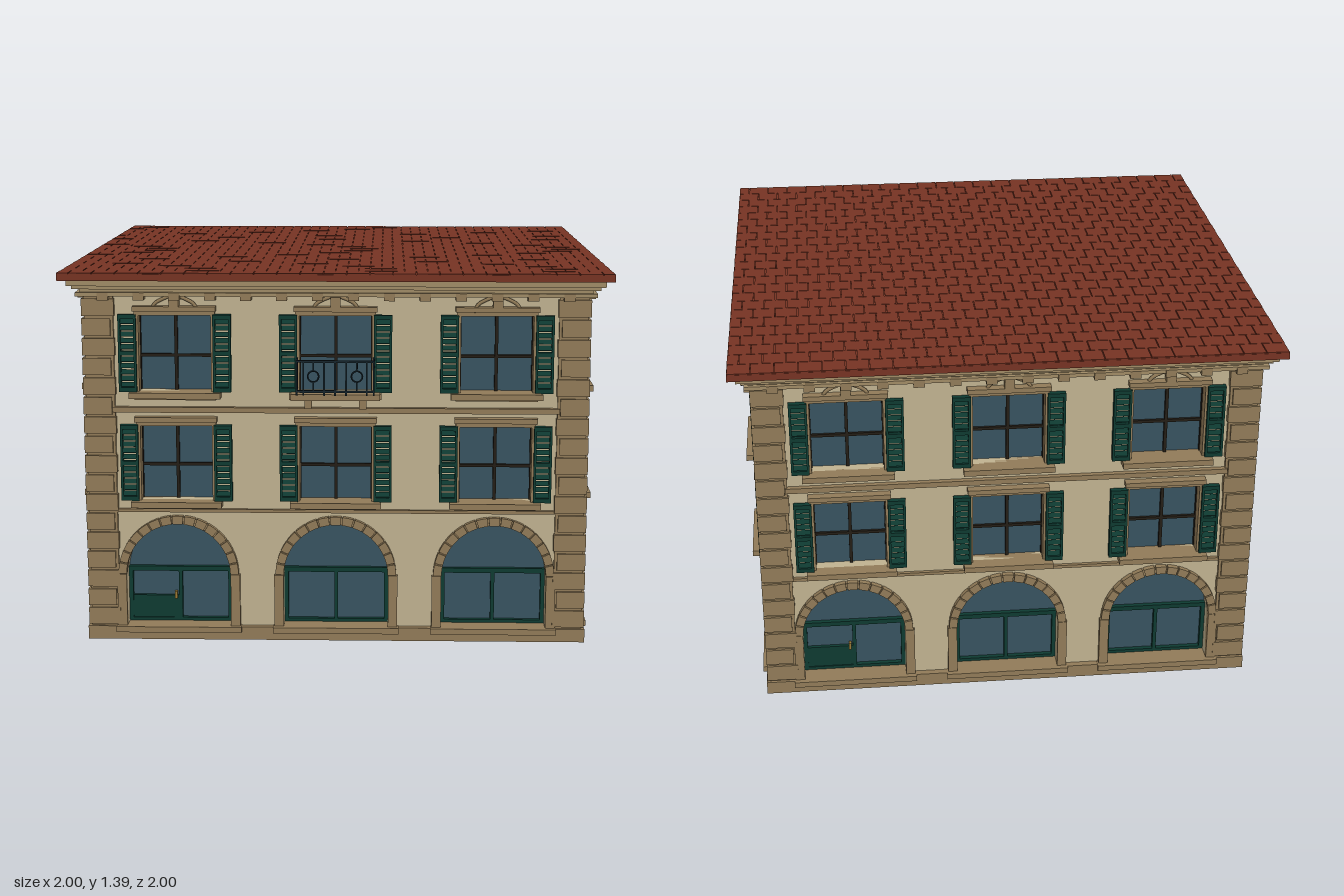
import * as THREE from 'three';
import { mergeGeometries } from 'three/addons/utils/BufferGeometryUtils.js';

const mat = (name, color) => Object.assign(new THREE.MeshStandardMaterial({ color }), { name });
const M = {
  wall: mat('plaster', 0xc0b290),
  trim: mat('stone', 0x917b58),
  cornice: mat('lightStone', 0xa08b66),
  green: mat('greenPaint', 0x0e3a31),
  glass: mat('glass', 0x385360),
  roof: mat('roofTile', 0x763323),
  wood: mat('darkWood', 0x231d15),
  iron: mat('iron', 0x15242b),
  brass: mat('brass', 0x9a7a35),
};
const WALL = 0.905, BACK = 0.84, COLUMNS = [-0.588, 0, 0.588];
const SPRING = 0.25, R_IN = 0.195, R_OUT = 0.225;

// Box between two corners
function box(x0, x1, y0, y1, z0, z1) {
  return new THREE.BoxGeometry(x1 - x0, y1 - y0, z1 - z0)
    .translate((x0 + x1) / 2, (y0 + y1) / 2, (z0 + z1) / 2);
}
function add(group, name, material, geos) {
  const mesh = new THREE.Mesh(Array.isArray(geos) ? mergeGeometries(geos) : geos, material);
  mesh.name = name;
  group.add(mesh);
  return mesh;
}
function archOutline(path, cx, r, y0) {
  path.moveTo(cx - r, y0);
  path.lineTo(cx + r, y0);
  path.lineTo(cx + r, SPRING);
  path.absarc(cx, SPRING, r, 0, Math.PI, false);
  path.lineTo(cx - r, y0);
  return path;
}
function ringSector(a0, a1, r0, r1, z0, z1) {
  const s = new THREE.Shape();
  s.absarc(0, SPRING, r1, a0, a1, false);
  s.absarc(0, SPRING, r0, a1, a0, true);
  return new THREE.ExtrudeGeometry(s, { depth: z1 - z0, bevelEnabled: false, curveSegments: 6 }).translate(0, 0, z0);
}

// Wall panel with arches and window openings
function wallGeometry() {
  const s = new THREE.Shape([[-0.9, 0.02], [0.9, 0.02], [0.9, 1.33], [-0.9, 1.33]].map(p => new THREE.Vector2(...p)));
  for (const cx of COLUMNS) {
    s.holes.push(archOutline(new THREE.Path(), cx, R_IN, 0.05));
    for (const y of [0.535, 0.945]) {
      s.holes.push(new THREE.Path([[-1, 0], [-1, 1], [1, 1], [1, 0], [-1, 0]]
        .map(([a, b]) => new THREE.Vector2(cx + a * 0.135, y + b * 0.285))));
    }
  }
  return new THREE.ExtrudeGeometry(s, { depth: WALL - BACK, bevelEnabled: false, curveSegments: 24 }).translate(0, 0, BACK);
}

// Louvred shutter, centred on x = 0, base on y = 0
function shutterGeometry() {
  const w = 0.033, h = 0.285, z0 = 0.912, z1 = 0.934;
  const parts = [box(-w, -w + 0.009, 0, h, z0, z1), box(w - 0.009, w, 0, h, z0, z1)];
  for (const y of [0, h / 2 - 0.008, h - 0.016]) parts.push(box(-w, w, y, y + 0.016, z0, z1));
  for (let i = 0; i < 11; i++) {
    parts.push(new THREE.BoxGeometry(2 * w - 0.01, 0.019, 0.004).rotateX(-0.5)
      .translate(0, 0.026 + i * 0.0233, 0.924));
  }
  return mergeGeometries(parts);
}

function archBay(hasDoor) {
  const g = new THREE.Group();
  g.name = hasDoor ? 'doorArch' : 'windowArch';
  const pane = new THREE.ShapeGeometry(archOutline(new THREE.Shape(), 0, R_IN + 0.003, 0.045), 24);
  add(g, 'archGlass', M.glass, pane.translate(0, 0, BACK + 0.002));
  // Voussoirs over a thin backing ring
  const stones = [ringSector(0, Math.PI, R_IN, R_OUT - 0.003, WALL - 0.01, 0.917)], n = 15;
  for (let i = 0; i < n; i++) {
    const a = i * Math.PI / n;
    stones.push(ringSector(a + 0.012, a + Math.PI / n - 0.012, R_IN - 0.001, R_OUT, WALL - 0.01, 0.926));
  }
  add(g, 'archStones', M.trim, stones);
  const piers = [box(-0.235, 0.235, 0.03, 0.052, BACK, 0.945)];
  for (const s of [-1, 1]) {
    const a = s * R_IN, b = s * 0.23;
    piers.push(box(Math.min(a, b), Math.max(a, b), 0.05, SPRING, WALL - 0.01, 0.925));
  }
  add(g, 'archPiers', M.trim, piers);
  // Painted glazing bars
  const z0 = BACK, z1 = BACK + 0.02;
  add(g, 'archFrame', M.green, [
    box(-R_IN, R_IN, 0.246, 0.264, z0, z1), box(-R_IN, R_IN, 0.052, 0.064, z0, z1),
    box(-R_IN, -0.18, 0.052, 0.25, z0, z1), box(0.18, R_IN, 0.052, 0.25, z0, z1),
    box(-0.007, 0.007, 0.052, 0.25, z0, z1)]);
  if (hasDoor) {
    add(g, 'doorPanel', M.green, box(-0.185, 0, 0.06, 0.15, z0, z1 - 0.004));
    add(g, 'doorHandle', M.brass, box(-0.022, -0.012, 0.14, 0.168, z1 - 0.01, z1 + 0.008));
  }
  return g;
}

function windowBay(upper, shutter) {
  const g = new THREE.Group(), h = 0.285, z = 0.865;
  g.name = upper ? 'upperWindow' : 'middleWindow';
  add(g, 'windowGlass', M.glass, box(-0.137, 0.137, 0, h, z - 0.02, z));
  const bars = [box(-0.006, 0.006, 0, h, z, z + 0.012), box(-0.135, 0.135, 0.122, 0.133, z, z + 0.01)];
  for (const s of [-1, 1]) bars.push(box(s * 0.132 - 0.003, s * 0.132 + 0.003, 0, h, z, z + 0.012));
  add(g, 'glazingBars', M.wood, bars);
  add(g, 'surround', M.trim, [
    box(-0.147, -0.132, 0, h, 0.875, 0.922), box(0.132, 0.147, 0, h, 0.875, 0.922),
    box(-0.147, 0.147, h - 0.004, h + 0.012, 0.875, 0.922),
    box(-0.152, 0.152, h + 0.012, h + 0.03, WALL - 0.01, 0.938),
    box(-0.168, 0.168, -0.022, 0, 0.86, 0.96), box(-0.15, 0.15, -0.03, -0.022, WALL - 0.01, 0.935)]);
  for (const s of [-1, 1]) add(g, 'shutter', M.green, shutter).position.x = s * 0.173;
  if (upper) {
    // Scrolled crest above the lintel
    const crest = [box(-0.018, 0.018, h + 0.03, h + 0.066, WALL - 0.01, 0.94)];
    for (const s of [-1, 1]) {
      const curve = new THREE.CatmullRomCurve3([[0.085, 0.3], [0.07, 0.325], [0.045, 0.34], [0.015, 0.352]]
        .map(([x, y]) => new THREE.Vector3(s * x, y, 0.918)));
      crest.push(new THREE.TubeGeometry(curve, 10, 0.007, 6));
      crest.push(new THREE.SphereGeometry(0.011, 8, 6).translate(s * 0.083, 0.305, 0.92));
    }
    add(g, 'crest', M.trim, crest);
  }
  return g;
}

function balcony() {
  const g = new THREE.Group();
  g.name = 'balcony';
  const slab = [box(-0.162, 0.162, 0.924, 0.947, WALL - 0.01, 0.985)];
  for (const x of [-0.1, 0.1]) slab.push(box(x - 0.013, x + 0.013, 0.888, 0.925, WALL - 0.01, 0.955));
  add(g, 'balconySlab', M.trim, slab);
  const z = 0.992, w = 0.14, t = 0.003, rails = [];
  for (const y of [0.96, 1.07]) {
    rails.push(box(-w, w, y - 0.004, y + 0.004, z - 0.005, z + 0.005));
    for (const s of [-1, 1]) rails.push(box(s * w - t, s * w + t, y - 0.004, y + 0.004, WALL, z));
  }
  for (const x of [-w, -0.115, -0.04, 0, 0.04, 0.115, w]) rails.push(box(x - t, x + t, 0.945, 1.07, z - t, z + t));
  for (const s of [-1, 1]) {
    for (const zz of [0.935, 0.964]) rails.push(box(s * w - t, s * w + t, 0.945, 1.07, zz - t, zz + t));
    rails.push(new THREE.TorusGeometry(0.02, 0.003, 6, 16).translate(s * 0.079, 1.015, z));
    for (const [a, b] of [[0.96, 0.995], [1.035, 1.07]]) rails.push(box(s * 0.079 - t, s * 0.079 + t, a, b, z - t, z + t));
  }
  add(g, 'balconyRailing', M.iron, rails);
  return g;
}

export function createModel() {
  const model = new THREE.Group();
  model.name = 'townHouse';
  const wall = wallGeometry(), shutter = shutterGeometry();
  const dentils = [];
  for (let i = -7; i < 7; i++) {
    const x = (i + 0.5) * 0.13;
    dentils.push(box(x - 0.02, x + 0.02, 1.284, 1.312, WALL - 0.01, 0.948));
  }
  // Four alike facades, with balconies on the front and right
  ['front', 'right', 'back', 'left'].forEach((side, k) => {
    const f = new THREE.Group();
    f.name = side + 'Facade';
    f.rotation.y = k * Math.PI / 2;
    add(f, 'wall', M.wall, wall);
    add(f, 'stringCourses', M.trim, [box(-0.82, 0.82, 0.488, 0.5, 0.9, 0.918), box(-0.82, 0.82, 0.866, 0.886, 0.9, 0.925)]);
    add(f, 'plinth', M.trim, box(-0.93, 0.93, 0, 0.05, 0.88, 0.93));
    add(f, 'dentils', M.trim, dentils);
    COLUMNS.forEach((x, i) => {
      const bays = [archBay(i === 0), windowBay(false, shutter), windowBay(true, shutter)];
      [0, 0.535, 0.945].forEach((y, j) => { bays[j].position.set(x, y, 0); f.add(bays[j]); });
    });
    if (k < 2) f.add(balcony());
    // Corner quoins
    const quoins = [box(0.812, 0.918, 0.05, 1.31, 0.812, 0.918)], n = 17, step = 1.24 / n;
    for (let i = 0; i < n; i++) {
      const y = 0.052 + i * step, inner = i % 2 ? 0.822 : 0.808;
      quoins.push(box(inner, 0.927, y + 0.005, y + step - 0.005, inner, 0.927));
    }
    add(f, 'quoins', M.trim, quoins);
    model.add(f);
  });
  add(model, 'floor', M.wall, box(-0.885, 0.885, 0.018, 0.03, -0.885, 0.885));
  // Stepped cornice
  const steps = [[0.945, 1.298, 1.312], [0.93, 1.312, 1.325], [0.955, 1.325, 1.338], [0.972, 1.338, 1.361]];
  add(model, 'cornice', M.cornice, steps.map(([r, a, b]) => box(-r, r, a, b, -r, r)));
  // Flat roof with staggered tiles
  add(model, 'roofSlab', M.roof, box(-1, 1, 1.36, 1.385, -1, 1));
  const tiles = [], rows = 24, t = 2 / rows;
  for (let r = 0; r < rows; r++) {
    for (let c = 0; c <= rows; c++) {
      const x = -1 + (c - (r % 2) / 2) * t;
      const x0 = Math.max(-1, x + 0.0015), x1 = Math.min(1, x + t - 0.0015);
      if (x1 - x0 > 0.01) tiles.push(box(x0, x1, 1.38, 1.389, -1 + r * t + 0.0015, -1 + (r + 1) * t - 0.0015));
    }
  }
  add(model, 'roofTiles', M.roof, tiles);
  return model;
}
